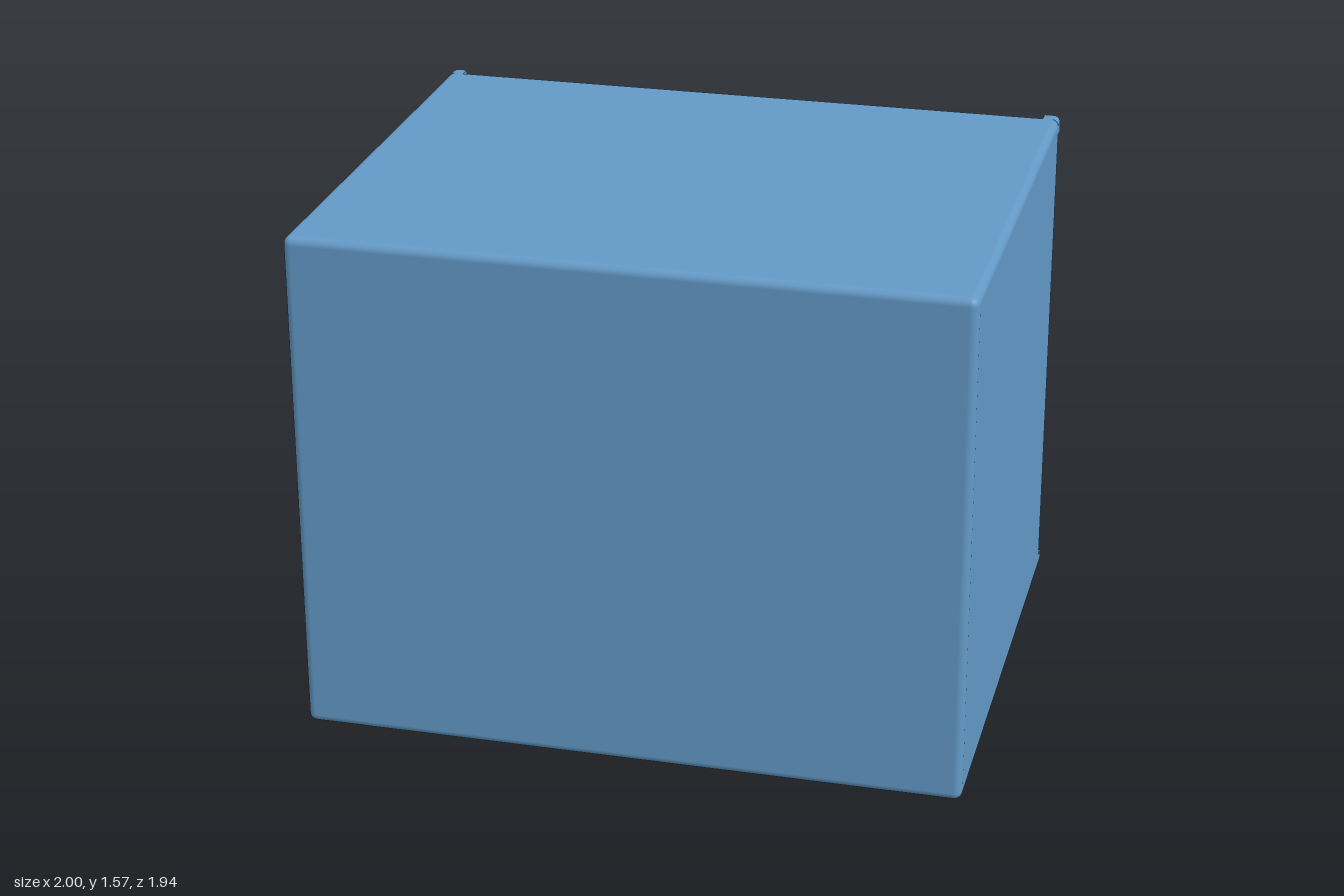
import * as THREE from 'three';
import { RoundedBoxGeometry } from 'three/addons/geometries/RoundedBoxGeometry.js';

const W = 2, H = 1.57, FRONT = 0.97, BACK = -0.57, R = 0.025;

// Rounded case whose back end is cut off flat
function caseGeometry() {
  const depth = FRONT - BACK + 2 * R;
  const geo = new RoundedBoxGeometry(W, H, depth, 5, R);
  geo.translate(0, H / 2, FRONT - depth / 2);
  const pos = geo.attributes.position, nor = geo.attributes.normal;
  for (let i = 0; i < pos.count; i += 3) {
    let flat = true;
    for (let j = i; j < i + 3; j++) {
      if (pos.getZ(j) < BACK + R * 0.5) pos.setZ(j, BACK);
      else flat = false;
    }
    for (let j = i; j < i + 3; j++) {
      if (flat) nor.setXYZ(j, 0, 0, -1);
      else if (pos.getZ(j) === BACK) nor.setXYZ(j, ...new THREE.Vector3(nor.getX(j), nor.getY(j), 0).normalize().toArray());
    }
  }
  return geo;
}

// Small square stand-off with its outer corner rounded to follow the case
function footGeometry(sx, sy) {
  const s = 0.05, shape = new THREE.Shape();
  shape.moveTo(-s * sx, -s * sy);
  shape.lineTo(0, -s * sy);
  shape.lineTo(0, -R * sy);
  shape.quadraticCurveTo(0, 0, -R * sx, 0);
  shape.lineTo(-s * sx, 0);
  return new THREE.ExtrudeGeometry(shape, { depth: 0.04, bevelEnabled: false, curveSegments: 5 });
}

export function createModel() {
  const group = new THREE.Group();
  const blue = new THREE.MeshStandardMaterial({ color: 0x6399c6 });
  const metal = new THREE.MeshStandardMaterial({ color: 0xcbc9c3 });
  const add = (name, geo, mat, x, y, z) => {
    const mesh = new THREE.Mesh(geo, mat);
    mesh.name = name;
    mesh.position.set(x, y, z);
    group.add(mesh);
  };

  add('case', caseGeometry(), blue, 0, 0, 0);

  // Four corner stand-offs on the back
  for (const sx of [-1, 1])
    for (const sy of [-1, 1])
      add('cornerFoot', footGeometry(sx, sy), blue, sx * W / 2, sy > 0 ? H : 0, BACK - 0.04);

  // Terminal pins: name, x, y, width, height
  const pins = [
    ['widePin', 0.58, 1.4, 0.1, 0.025],
    ['upperSquarePin', -0.667, 1.4, 0.047, 0.047],
    ['lowerSquarePin', -0.667, 0.177, 0.047, 0.047],
    ['tallPin', -0.87, 0.79, 0.025, 0.1],
  ];
  for (const [name, x, y, w, h] of pins)
    add(name, new RoundedBoxGeometry(w, h, 0.41, 2, 0.005), metal, x, y, BACK - 0.195);

  return group;
}
